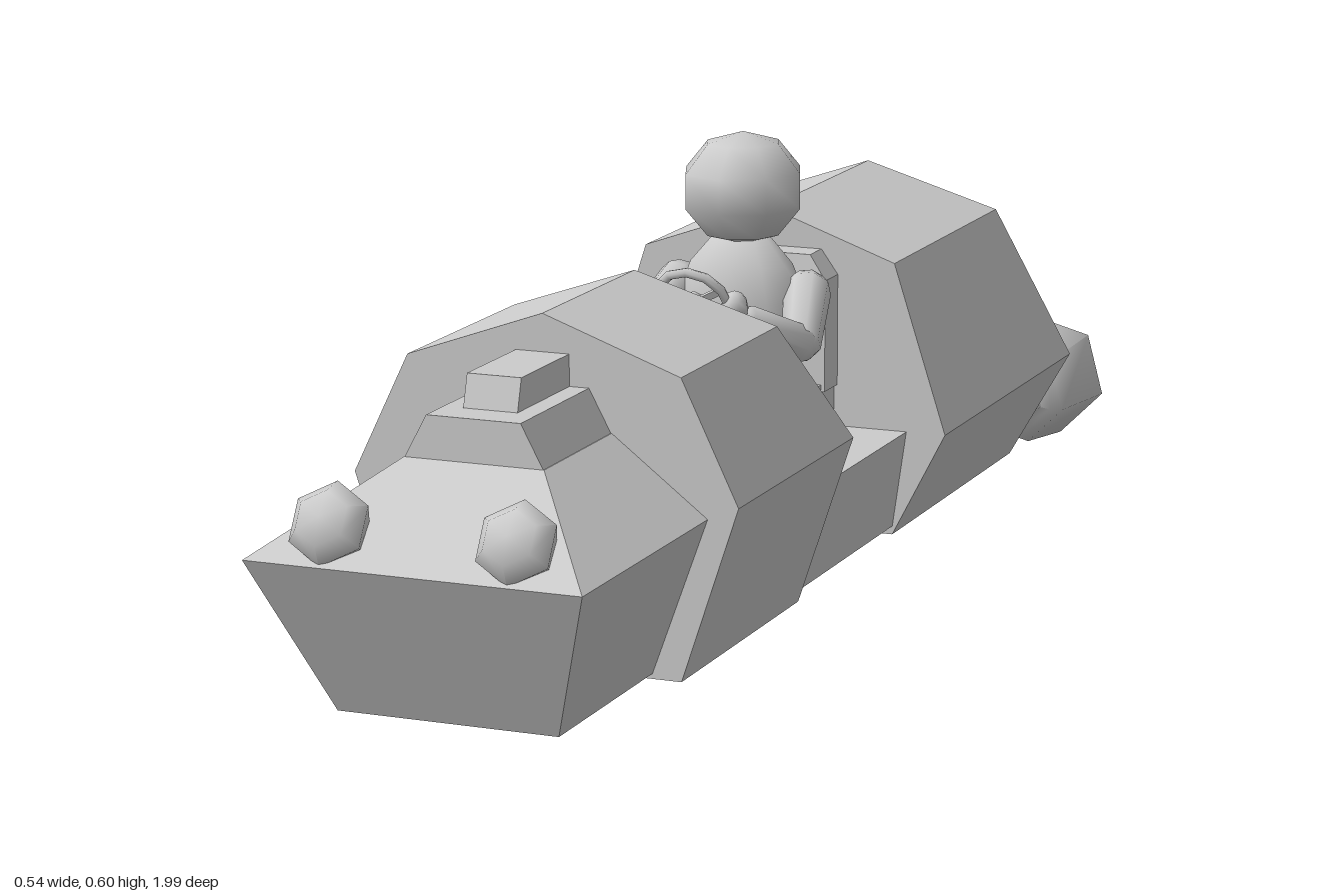
import * as THREE from 'three';
import { ConvexGeometry } from 'three/addons/geometries/ConvexGeometry.js';
import { toCreasedNormals } from 'three/addons/utils/BufferGeometryUtils.js';

const material = new THREE.MeshStandardMaterial({ color: 0xcccccc });
const V = (x, y, z) => new THREE.Vector3(x, y, z);

function add(parent, name, geometry) {
  const mesh = new THREE.Mesh(geometry, material);
  mesh.name = name;
  parent.add(mesh);
  return mesh;
}

// Faceted solid from half of its corners, mirrored across x = 0
function hull(parent, name, corners) {
  const points = [];
  for (const [x, y, z] of corners) {
    points.push(V(x, y, z));
    if (x > 0) points.push(V(-x, y, z));
  }
  return add(parent, name, new ConvexGeometry(points));
}

// Turned part with its axis along `dir`; profile is [radius, distance] pairs
function turned(parent, name, profile, sides, at, dir, phase = 0) {
  const g = new THREE.LatheGeometry(profile.map(([r, d]) => new THREE.Vector2(r, d)), sides, phase);
  const mesh = add(parent, name, toCreasedNormals(g, 1.1));
  mesh.position.copy(at);
  mesh.quaternion.setFromUnitVectors(V(0, 1, 0), dir.clone().normalize());
  return mesh;
}

// Tapered limb with blunt ends between two joints
function limb(parent, name, a, b, ra, rb) {
  const d = b.clone().sub(a), n = d.length();
  return turned(parent, name,
    [[0, -ra * 0.7], [ra * 0.7, -ra * 0.5], [ra, 0], [rb, n], [rb * 0.7, n + rb * 0.5], [0, n + rb * 0.7]], 8, a, d);
}

function ball(parent, name, at, sx, sy, sz, w = 8, h = 6) {
  const mesh = add(parent, name, new THREE.SphereGeometry(1, w, h));
  mesh.position.copy(at);
  mesh.scale.set(sx, sy, sz);
  return mesh;
}

function buildBody() {
  const body = new THREE.Group();
  body.name = 'body';
  hull(body, 'rearBody', [
    [0.19, 0.018, -0.2], [0.268, 0.17, -0.2], [0.19, 0.412, -0.2], [0, 0.48, -0.2],
    [0.19, 0.018, -0.73], [0.268, 0.17, -0.78], [0.19, 0.412, -0.648], [0, 0.48, -0.61],
  ]);
  hull(body, 'frontCowl', [
    [0.19, 0.015, 0.59], [0.268, 0.25, 0.59], [0.19, 0.412, 0.59], [0, 0.48, 0.59],
    [0.19, 0.015, 0.175], [0.268, 0.25, 0.175], [0.19, 0.412, 0.257], [0, 0.48, 0.29],
  ]);
  hull(body, 'cockpitFloor', [
    [0.19, 0.03, -0.21], [0.21, 0.17, -0.21], [0.19, 0.03, 0.19], [0.21, 0.17, 0.19],
  ]);
  hull(body, 'nose', [
    [0.15, 0.022, 0.58], [0.226, 0.232, 0.58], [0.095, 0.332, 0.58],
    [0.15, 0.022, 0.885], [0.226, 0.232, 0.985], [0.095, 0.332, 0.8],
  ]);
  hull(body, 'hood', [
    [0.095, 0.33, 0.58], [0.064, 0.388, 0.58], [0.095, 0.33, 0.8], [0.064, 0.388, 0.8],
  ]);
  hull(body, 'hoodScoop', [
    [0.037, 0.385, 0.58], [0.037, 0.43, 0.58], [0.037, 0.385, 0.75], [0.037, 0.43, 0.737],
  ]);
  return body;
}

function buildSeat() {
  const seat = new THREE.Group();
  seat.name = 'seat';
  hull(seat, 'seatCushion', [
    [0.1, 0.168, -0.2], [0.1, 0.24, -0.2], [0.1, 0.168, 0.015], [0.1, 0.24, 0.015],
  ]);
  hull(seat, 'seatBack', [
    [0.105, 0.23, -0.205], [0.105, 0.23, -0.148], [0.105, 0.39, -0.205], [0.105, 0.39, -0.15],
    [0.08, 0.425, -0.205], [0.08, 0.425, -0.155],
  ]);
  return seat;
}

function buildDriver() {
  const driver = new THREE.Group();
  driver.name = 'driver';
  ball(driver, 'head', V(0, 0.525, -0.1), 0.09, 0.08, 0.096, 8, 5);
  const torso = turned(driver, 'torso',
    [[0, 0.23], [0.07, 0.235], [0.08, 0.3], [0.095, 0.37], [0.075, 0.42], [0.04, 0.46], [0, 0.46]],
    10, V(0, 0, -0.095), V(0, 1, 0));
  torso.scale.z = 0.62;
  for (const s of [1, -1]) {
    const shoulder = V(s * 0.095, 0.385, -0.105), elbow = V(s * 0.122, 0.328, -0.01);
    const wrist = V(s * 0.068, 0.372, 0.06);
    limb(driver, 'upperArm', shoulder, elbow, 0.034, 0.028);
    limb(driver, 'forearm', elbow, wrist, 0.028, 0.022);
    ball(driver, 'hand', V(s * 0.058, 0.39, 0.078), 0.02, 0.026, 0.023);
    const knee = V(s * 0.055, 0.267, 0.035), ankle = V(s * 0.055, 0.228, 0.11);
    limb(driver, 'thigh', V(s * 0.045, 0.275, -0.08), knee, 0.042, 0.033);
    limb(driver, 'shin', knee, ankle, 0.032, 0.026);
    limb(driver, 'shoe', V(s * 0.055, 0.22, 0.13), V(s * 0.055, 0.262, 0.16), 0.03, 0.026);
  }
  return driver;
}

function buildSteering() {
  const steering = new THREE.Group();
  steering.name = 'steering';
  // Built facing +z, then tilted along the column
  add(steering, 'wheelRim', new THREE.TorusGeometry(0.053, 0.007, 6, 12));
  for (let i = 0; i < 3; i++) {
    const spoke = add(steering, 'wheelSpoke', new THREE.BoxGeometry(0.01, 0.052, 0.006));
    const a = Math.PI + i * Math.PI * 2 / 3;
    spoke.position.set(-Math.sin(a) * 0.026, Math.cos(a) * 0.026, 0);
    spoke.rotation.z = a;
  }
  turned(steering, 'column', [[0, -0.01], [0.014, -0.01], [0.008, 0.02], [0.008, 0.18], [0, 0.18]],
    6, V(0, 0, 0), V(0, 0, 1));
  steering.position.set(0, 0.395, 0.085);
  steering.rotation.x = 0.46;
  return steering;
}

function buildSide(s) {
  const side = new THREE.Group();
  side.name = s > 0 ? 'leftSideParts' : 'rightSideParts';
  // Six-sided thruster, axis pointing backwards
  const phase = s > 0 ? Math.PI / 12 : -Math.PI / 12;
  const thruster = turned(side, 'thruster', [
    [0, -0.09], [0.035, -0.09], [0.05, 0], [0.062, 0.005], [0.077, 0.025],
    [0.095, 0.175], [0.086, 0.185], [0.066, 0.185], [0.066, 0.22], [0, 0.22],
  ], 6, V(s * 0.175, 0.095, -0.78), V(0, 0, -1), Math.PI / 2 + phase);
  thruster.material = material;
  // Domed headlight on a tapered back, tilted upward
  turned(side, 'headlight', [
    [0, -0.075], [0.035, -0.055], [0.055, -0.005], [0.036, 0.018], [0, 0.026],
  ], 6, V(s * 0.125, 0.282, 0.955), V(0, 0.5, 0.86));
  return side;
}

export function createModel() {
  const model = new THREE.Group();
  model.name = 'rocketCar';
  model.add(buildBody(), buildSeat(), buildDriver(), buildSteering(), buildSide(1), buildSide(-1));
  return model;
}
